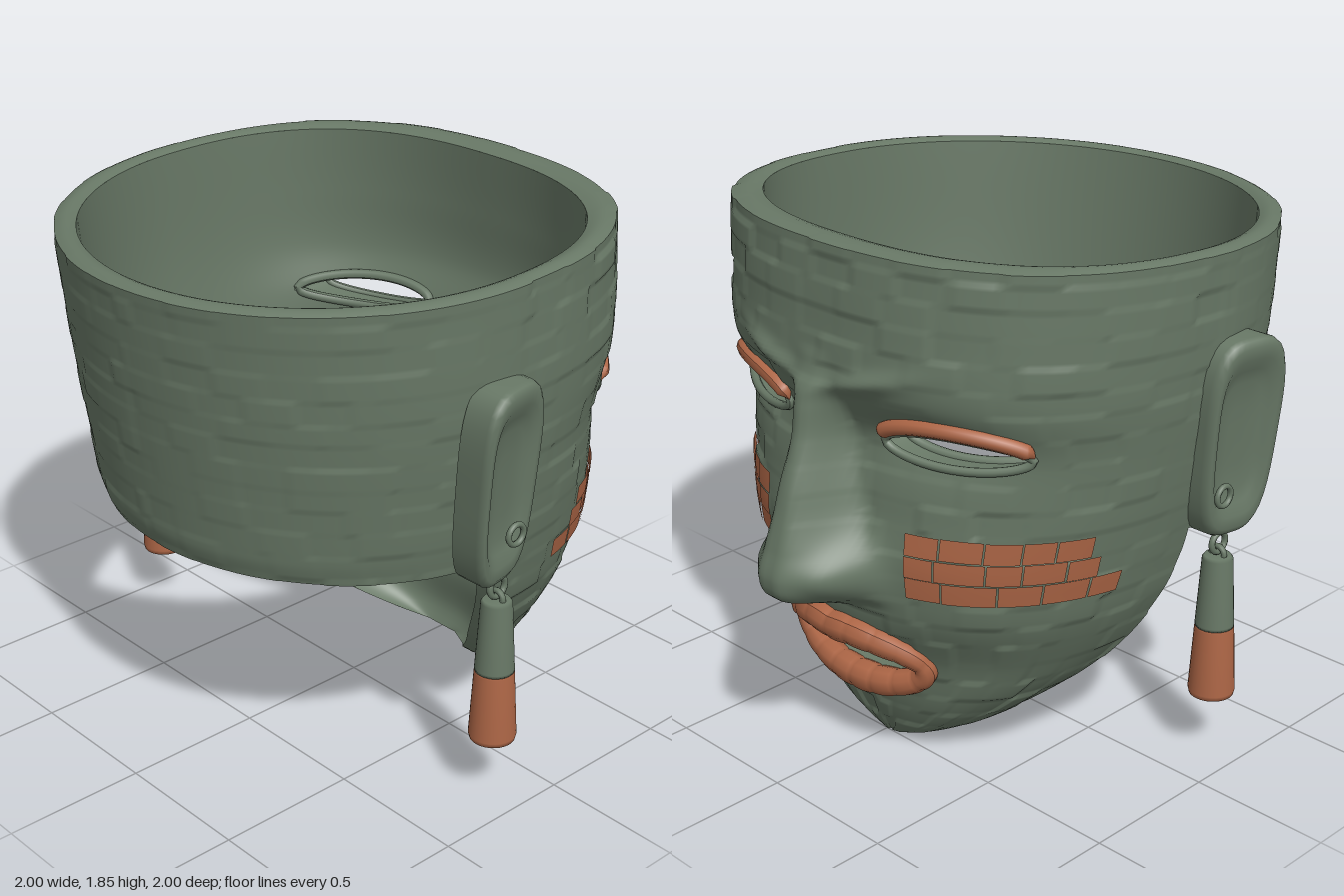
import * as THREE from 'three';

const PI = Math.PI, FLOOR = 0.84, TOP = 1.84;
const jade = new THREE.MeshStandardMaterial({ color: 0x687866, side: THREE.DoubleSide });
jade.name = 'jade green';
const clay = new THREE.MeshStandardMaterial({ color: 0xad6646, side: THREE.DoubleSide });
clay.name = 'terracotta';

const ss = THREE.MathUtils.smoothstep;
const gauss = (a, s) => Math.exp(-((a / s) ** 2));
const hash = (a, b) => { const s = Math.sin(a * 127.1 + b * 311.7) * 43758.5; return s - Math.floor(s); };

// smooth interpolation through [y, value] pairs
function profile(p) {
  const slope = i => {
    const a = p[Math.max(i - 1, 0)], b = p[Math.min(i + 1, p.length - 1)];
    return (b[1] - a[1]) / (b[0] - a[0]);
  };
  return y => {
    if (y <= p[0][0]) return p[0][1];
    if (y >= p[p.length - 1][0]) return p[p.length - 1][1];
    let i = 0;
    while (y > p[i + 1][0]) i++;
    const h = p[i + 1][0] - p[i][0], t = (y - p[i][0]) / h, t2 = t * t, t3 = t2 * t;
    return (2 * t3 - 3 * t2 + 1) * p[i][1] + (t3 - 2 * t2 + t) * h * slope(i)
      + (3 * t2 - 2 * t3) * p[i + 1][1] + (t3 - t2) * h * slope(i + 1);
  };
}

// head cross-section by height: half width, centre, front and back
const halfWidth = profile([[0, 0.07], [0.04, 0.2], [0.13, 0.37], [0.28, 0.55], [0.42, 0.66], [0.6, 0.755], [0.75, 0.8], [0.84, 0.82], [1, 0.85], [1.4, 0.9], [1.84, 0.915]]);
const centre = profile([[0, 0.46], [0.04, 0.38], [0.13, 0.25], [0.28, 0.1], [0.42, 0], [0.6, -0.07], [0.75, -0.11], [0.84, -0.12], [1, -0.12]]);
const front = profile([[0, 0.5], [0.08, 0.55], [0.2, 0.59], [0.4, 0.62], [0.6, 0.72], [0.8, 0.75], [1, 0.73], [1.2, 0.72], [1.38, 0.78], [1.6, 0.775], [1.84, 0.755]]);
const back = profile([[0.84, -0.87], [0.92, -0.895], [1.84, -1]]);
const noseHeight = profile([[0.61, 0], [0.64, 0.1], [0.68, 0.22], [0.75, 0.25], [0.85, 0.225], [1, 0.2], [1.1, 0.18], [1.2, 0.15], [1.3, 0.1], [1.4, 0.03], [1.5, 0]]);
const noseWidth = profile([[0.62, 0.18], [0.75, 0.23], [0.85, 0.22], [1, 0.17], [1.2, 0.12], [1.4, 0.1]]);
const EYE = { z: 0.455, y: 1.225, hz: 0.225, hy: 0.056 };
const inEye = (z, y) => ((Math.abs(z) - EYE.z) / EYE.hz) ** 2 + ((y - EYE.y) / EYE.hy) ** 2 < 1;

// forward relief of the features
const muzzle = (z, y) => 0.05 * gauss(z, 0.28) * gauss(y - 0.43, 0.17);
function relief(z, y) {
  const a = Math.abs(z);
  const nose = noseHeight(y) * (1 - ss(a / noseWidth(y), 0.12, 1));
  const wings = 0.09 * gauss(a - 0.17, 0.07) * gauss(y - 0.76, 0.1) * ss(y, 0.62, 0.68);
  const sockets = -0.045 * gauss(a - 0.4, 0.24) * gauss(y - 1.25, 0.1);
  const brow = 0.03 * gauss(y - 1.37 - 0.25 * a, 0.035) * gauss(a - 0.2, 0.17);
  const m = (z / 0.29) ** 2 + ((y - 0.4) / 0.08) ** 2;
  return nose + wings + sockets + brow + muzzle(z, y) - 0.1 * (1 - ss(m, 0.5, 1.1));
}

// point on a head section; outer skin has relief and mosaic tiles
function skin(phi, yIn, inner, lift) {
  const c = Math.cos(phi), s = Math.sin(phi), isFront = c > -1e-9;
  const y = isFront ? yIn : Math.max(yIn, FLOOR);
  const n = isFront ? 2.4 : 2, k = (Math.abs(c) ** n + Math.abs(s) ** n) ** (-1 / n);
  const thin = 0.35 + 0.65 * ss(y, 0, 0.25), cx = centre(y);
  const w = halfWidth(y) - (inner ? Math.min(0.08, halfWidth(y) * 0.25) * thin : 0);
  const ax = isFront ? front(y) - cx - (inner ? 0.12 * thin : 0) : cx - back(y) - (inner ? 0.075 : 0);
  let x = cx + ax * c * k, z = w * s * k;
  if (!inner) {
    if (isFront) x += relief(z, y);
    let d = lift;
    if (d === undefined) {
      const row = Math.floor(y / 0.086), col = Math.floor(phi / 0.19 + hash(row, 3));
      d = -0.011 * hash(col, row) * (Math.abs(z) < noseWidth(y) && isFront && y > 0.6 && y < 1.4 ? 0.2 : 1) * (isFront ? 1 : 0.5);
    }
    x += d * c; z += d * s;
  }
  return [x, y - 0.07 * (0.76 - x) / 1.76 * ss(y, 0.95, TOP), z];
}
// depth of the smooth face at a given z and y
function faceX(z, y, inset = 0) {
  const u = Math.min(Math.abs(z) / (halfWidth(y) - inset * 0.66), 1);
  return centre(y) + (front(y) - inset - centre(y)) * (1 - u ** 2.4) ** (1 / 2.4);
}

// surface from a grid of points, leaving out unwanted cells
function sheet(nu, nv, point, keep = () => true, wrap = false) {
  const pos = [], idx = [], cols = wrap ? nu : nu + 1;
  for (let j = 0; j <= nv; j++) for (let i = 0; i < cols; i++) pos.push(...point(i / nu, j / nv));
  for (let j = 0; j < nv; j++) for (let i = 0; i < nu; i++) {
    if (!keep((i + 0.5) / nu, (j + 0.5) / nv)) continue;
    const r = (i + 1) % cols, a = j * cols + i, b = j * cols + r, c = a + cols, d = b + cols;
    idx.push(a, c, b, b, c, d);
  }
  const g = new THREE.BufferGeometry();
  g.setAttribute('position', new THREE.Float32BufferAttribute(pos, 3));
  g.setIndex(idx);
  g.computeVertexNormals();
  return g;
}
// tube whose thickness varies along its path
function tube(points, steps, radius, closed) {
  const curve = new THREE.CatmullRomCurve3(points.map(p => new THREE.Vector3(...p)), closed);
  const g = new THREE.TubeGeometry(curve, steps, 1, 10, closed), p = g.attributes.position, v = new THREE.Vector3();
  for (let i = 0; i < p.count; i++) {
    const t = Math.floor(i / 11) / steps, c = curve.getPointAt(t);
    v.fromBufferAttribute(p, i).sub(c).multiplyScalar(radius(t)).add(c);
    p.setXYZ(i, v.x, v.y, v.z);
  }
  g.computeVertexNormals();
  return g;
}
const ring = (n, f) => Array.from({ length: n }, (_, i) => f(i / n * 2 * PI));

export function createModel() {
  const group = new THREE.Group();
  const add = (name, geo, mat, parent = group) => {
    const m = new THREE.Mesh(geo, mat);
    m.name = name;
    parent.add(m);
    return m;
  };

  // hollow head: outer and inner skins with open eyes
  const split = 7 / 16;
  const angle = u => -PI + 2 * PI * u;
  const height = v => v < split ? FLOOR * v / split : FLOOR + (TOP - FLOOR) * (v - split) / (1 - split);
  for (const inner of [false, true]) {
    const keep = (u, v) => {
      if (Math.cos(angle(u)) < 0) return v > split;
      const y = height(v);
      return !inEye(skin(angle(u), y, inner)[2], y);
    };
    add(inner ? 'innerShell' : 'mosaicFaceShell',
      sheet(inner ? 152 : 300, inner ? 80 : 160, (u, v) => skin(angle(u), height(v), inner), keep, true), jade);
  }

  // rims joining the skins along the top and along the jaw
  const between = (phi, y, t, bulge) => {
    const a = skin(phi, y, false), b = skin(phi, y, true), p = a.map((q, i) => q + (b[i] - q) * t);
    p[1] += bulge * Math.sin(PI * t);
    return p;
  };
  add('topRim', sheet(300, 6, (u, t) => between(angle(u), TOP, t, 0.012), undefined, true), jade);
  const lower = [];
  for (let i = 0; i <= 75; i++) lower.push([-PI + PI / 2 * i / 75, FLOOR]);
  for (let i = 1; i <= 70; i++) lower.push([-PI / 2, FLOOR * (1 - i / 70)]);
  for (let i = 1; i <= 40; i++) lower.push([-PI / 2 + PI / 2 * i / 40, 0]);
  for (const [p, y] of lower.slice(0, -1).reverse()) lower.push([-p, y]);
  add('jawRim', sheet(lower.length - 1, 4, (u, t) => between(...lower[Math.round(u * (lower.length - 1))], t, 0)), jade);

  // lips
  const lipPoints = ring(32, a => {
    const z = 0.305 * Math.cos(a), y = 0.395 + 0.112 * Math.sin(a) - (Math.sin(a) > 0 ? 0.01 * gauss(z, 0.05) : 0);
    return [faceX(z, y) + muzzle(z, y) + 0.008, y, z];
  });
  add('lips', tube(lipPoints, 160, t =>
    (0.036 + 0.017 * Math.abs(Math.sin(2 * PI * t))) * (0.95 + 0.07 * Math.abs(Math.sin(PI * 16 * t)) ** 0.5), true), clay);

  for (const side of [1, -1]) {
    const name = side > 0 ? 'right' : 'left';

    // eye opening wall, edges and painted upper lid
    const eyeAt = (a, grow = 1) => [EYE.y + EYE.hy * grow * Math.sin(a), EYE.z + EYE.hz * grow * Math.cos(a)];
    const outerEdge = a => { const [y, z] = eyeAt(a); return [faceX(z, y) + relief(z, y), y, z * side]; };
    const innerEdge = a => { const [y, z] = eyeAt(a); return [faceX(z, y, 0.12), y, z * side]; };
    add(name + 'EyeWall', sheet(48, 2, (u, t) => {
      const p = outerEdge(u * 2 * PI), q = innerEdge(u * 2 * PI);
      return p.map((c, i) => c + (q[i] - c) * t);
    }, undefined, true), jade);
    add(name + 'EyeRim', tube(ring(32, outerEdge), 64, () => 0.015, true), jade);
    add(name + 'InnerEyeRim', tube(ring(32, innerEdge), 64, () => 0.018, true), jade);
    const lid = [];
    for (let i = 0; i <= 16; i++) {
      const a = PI * i / 16, z = EYE.z + 0.232 * Math.cos(a), y = 1.235 + 0.075 * Math.sin(a);
      lid.push([faceX(z, y) + relief(z, y) + 0.008, y, z * side]);
    }
    add(name + 'UpperLid', tube(lid, 64, t => 0.027 * Math.min(1, Math.sin(PI * t) * 5 + 0.05), false), clay);

    // painted cheek band: three rows of tiles
    const band = new THREE.Group();
    band.name = name + 'CheekBand';
    group.add(band);
    [[0.71, 0.785, 1.24], [0.788, 0.862, 1.13], [0.865, 0.94, 1.09]].forEach(([y0, y1, end], row) => {
      const n = 5, phiAt = (u, y) => {
        const q = 0.33 / halfWidth(y), start = Math.atan2(q, (1 - q ** 2.4) ** (1 / 2.4));
        return start + (end - start) * u;
      };
      for (let i = 0; i < n; i++) {
        const cut = k => k === 0 ? 0 : k === n ? 1 : (k + 0.5 * (hash(k, row) - 0.5)) / n;
        const a = cut(i), b = cut(i + 1) - 0.008, lift = 0.004 + 0.005 * hash(i + 9, row);
        add('cheekTile', sheet(8, 5, (u, v) => {
          const y = y0 + (y1 - y0) * v, p = skin(phiAt(a + (b - a) * u, y), y, false, lift);
          return [p[0], p[1], p[2] * side];
        }), clay, band);
      }
    });

    // dished ear
    const dish = [[1, -0.13], [1, -0.03], [0.98, -0.012], [0.92, 0], [0.8, -0.002], [0.68, -0.02], [0.55, -0.032], [0.3, -0.036], [0, -0.036]];
    add(name + 'Ear', sheet(48, 8, (u, v) => {
      const [r, depth] = dish[Math.round(v * 8)], a = u * 2 * PI, c = Math.cos(a), s = Math.sin(a);
      const k = r * (Math.abs(c) ** 3.5 + Math.abs(s) ** 3.5) ** (-1 / 3.5);
      const x = -0.213 + 0.145 * c * k * (1 + 0.1 * s * k), y = 1.17 + 0.35 * s * k;
      return [x, y, side * (0.925 + 0.06 * (y - 0.85) / 0.65 + (-0.2 - x) * 0.18 + depth)];
    }, undefined, true), jade);
    const lobe = add(name + 'LobeHole', new THREE.TorusGeometry(0.034, 0.01, 8, 24), jade);
    lobe.position.set(-0.155, 0.98, side * 0.925);

    // hanging ear ornament
    const drop = new THREE.Group();
    drop.name = name + 'EarOrnament';
    drop.position.set(-0.19, 0, side * 0.885);
    group.add(drop);
    const lathe = pts => new THREE.LatheGeometry(pts.map(p => new THREE.Vector2(...p)), 28);
    add('hangerLoop', new THREE.TorusGeometry(0.034, 0.011, 8, 24), jade, drop).position.y = 0.79;
    const link = add('hangerLink', new THREE.TorusGeometry(0.026, 0.01, 8, 20), jade, drop);
    link.position.y = 0.75;
    link.rotation.y = PI / 2;
    add('upperBead', lathe([[0, 0.485], [0.066, 0.485], [0.066, 0.495], [0.052, 0.735], [0.045, 0.745], [0, 0.745]]), jade, drop);
    add('lowerBead', lathe([[0, 0.22], [0.06, 0.22], [0.076, 0.228], [0.08, 0.245], [0.067, 0.478], [0.06, 0.488], [0, 0.488]]), clay, drop);
  }
  return group;
}
